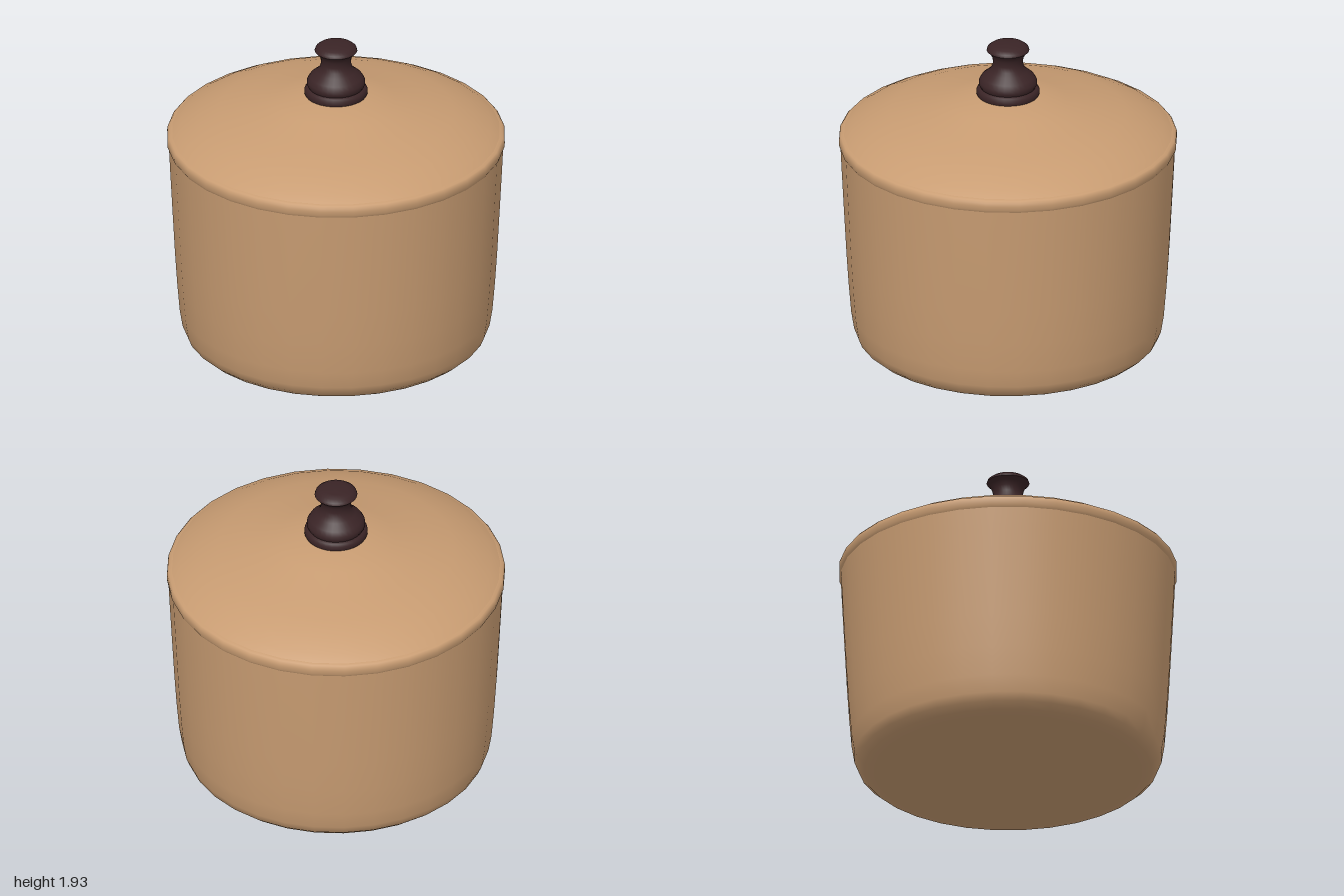
import * as THREE from 'three';

export function createModel() {
  const clay = new THREE.MeshStandardMaterial({ color: 0xc89c72 });
  clay.name = 'tan enamel';
  const wood = new THREE.MeshStandardMaterial({ color: 0x3a2426 });
  wood.name = 'dark wood';

  const pot = new THREE.Group();
  pot.name = 'coveredPot';

  // Revolve a bottom-to-top profile of [radius, height] pairs
  function turn(name, profile, material, segments = 32, parent = pot) {
    const points = profile.map(([r, y]) => new THREE.Vector2(r, y));
    const mesh = new THREE.Mesh(new THREE.LatheGeometry(points, segments), material);
    mesh.name = name;
    parent.add(mesh);
    return mesh;
  }

  // Vessel: nearly flat base, rounded foot and slightly flared wall
  turn('body', [
    [0, 0], [0.4, 0.005], [0.78, 0.016], [0.85, 0.03], [0.89, 0.065], [0.91, 0.115],
    [0.927, 0.22], [0.942, 0.4], [0.955, 0.6], [0.971, 0.9], [0.984, 1.15], [0.99, 1.28],
  ], clay);

  // Rolled rim between the vessel and the lid
  turn('rim', [[0.99, 1.28], [0.998, 1.295], [1, 1.32], [0.998, 1.34], [0.988, 1.352], [0.97, 1.358]], clay);

  // Domed lid rising to the knob seat
  turn('lid', [
    [0.97, 1.358], [0.92, 1.39], [0.82, 1.437], [0.7, 1.48], [0.55, 1.515], [0.35, 1.565], [0.19, 1.605], [0, 1.61],
  ], clay);

  // Turned knob: base collar, waisted stem and flared cap
  const knob = new THREE.Group();
  knob.name = 'knob';
  pot.add(knob);
  turn('knobCollar', [[0.18, 1.6], [0.187, 1.615], [0.186, 1.635], [0.177, 1.648], [0.162, 1.654]], wood, 32, knob);
  turn('knobStem', [
    [0.162, 1.654], [0.172, 1.672], [0.171, 1.695], [0.155, 1.722], [0.115, 1.755], [0.096, 1.78],
    [0.088, 1.81], [0.092, 1.845], [0.107, 1.872], [0.126, 1.89],
  ], wood, 32, knob);
  turn('knobCap', [[0.126, 1.89], [0.121, 1.905], [0.1, 1.921], [0.065, 1.93], [0, 1.932]], wood, 32, knob);

  return pot;
}
